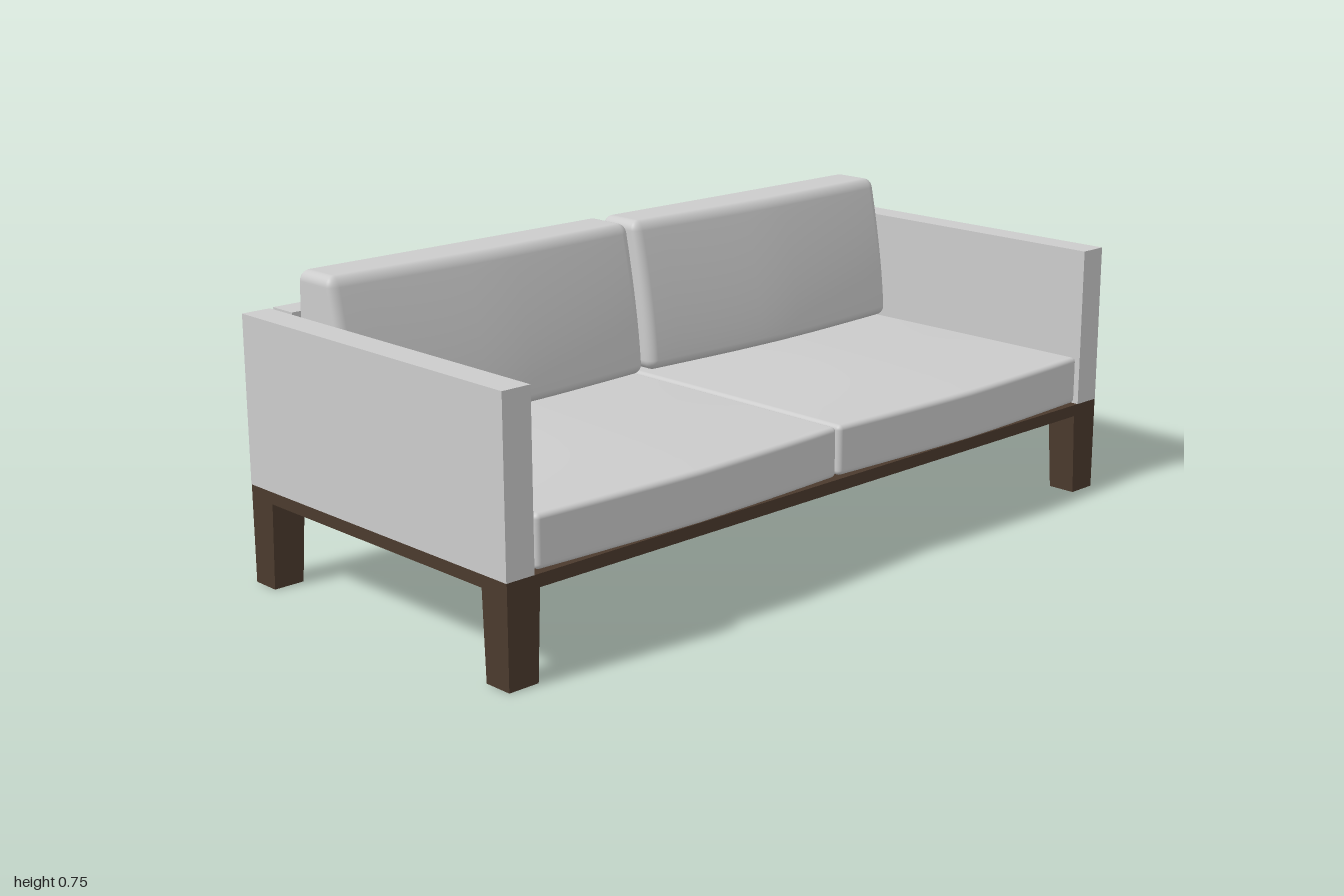
import * as THREE from 'three';
import { mergeVertices } from 'three/addons/utils/BufferGeometryUtils.js';

const fabric = new THREE.MeshStandardMaterial({ color: 0xcccccc });
const wood = new THREE.MeshStandardMaterial({ color: 0x4b3a2d });

const BACK = -0.47, FRONT = 0.455;

// Box given by its lower and upper corners
function block(name, material, [x0, y0, z0], [x1, y1, z1]) {
  const mesh = new THREE.Mesh(new THREE.BoxGeometry(x1 - x0, y1 - y0, z1 - z0), material);
  mesh.position.set((x0 + x1) / 2, (y0 + y1) / 2, (z0 + z1) / 2);
  mesh.name = name;
  return mesh;
}

// Soft box with rounded edges; warp(p, u, v, t) reshapes each point, u, v, t run from -1 to 1
function cushion(name, size, radius, warp) {
  const segments = 20, edge = 4;
  const geo = new THREE.BoxGeometry(2, 2, 2, segments, segments, segments);
  geo.deleteAttribute('normal');
  geo.deleteAttribute('uv');
  const pos = geo.attributes.position;
  const limit = 1 - (2 * edge) / segments;
  const p = new THREE.Vector3(), inner = new THREE.Vector3(), out = new THREE.Vector3();
  for (let i = 0; i < pos.count; i++) {
    p.fromBufferAttribute(pos, i);
    for (let a = 0; a < 3; a++) {
      const c = p.getComponent(a);
      const core = THREE.MathUtils.clamp(c, -limit, limit);
      inner.setComponent(a, (core / limit) * (size[a] / 2 - radius));
      out.setComponent(a, Math.tan(((c - core) / (1 - limit)) * Math.PI / 4));
    }
    p.copy(inner).addScaledVector(out.normalize(), radius);
    warp(p, (2 * p.x) / size[0], (2 * p.y) / size[1], (2 * p.z) / size[2]);
    pos.setXYZ(i, p.x, p.y, p.z);
  }
  const merged = mergeVertices(geo, 1e-5);
  merged.computeVertexNormals();
  const mesh = new THREE.Mesh(merged, fabric);
  mesh.name = name;
  return mesh;
}

const crown = (u) => 1 - Math.min(1, Math.abs(u)) ** 1.4;

// Tapered leg whose outer faces stay upright
function leg(sx, sz) {
  const geo = new THREE.BoxGeometry(0.088, 0.21, 0.082);
  const pos = geo.attributes.position;
  for (let i = 0; i < pos.count; i++) {
    if (pos.getY(i) > 0) continue;
    if (pos.getX(i) * sx < 0) pos.setX(i, pos.getX(i) + sx * 0.009);
    if (pos.getZ(i) * sz < 0) pos.setZ(i, pos.getZ(i) + sz * 0.008);
  }
  geo.computeVertexNormals();
  const mesh = new THREE.Mesh(geo, wood);
  mesh.position.set(sx * 0.955, 0.105, sz > 0 ? FRONT - 0.041 : BACK + 0.041);
  mesh.name = sz > 0 ? 'frontLeg' : 'backLeg';
  return mesh;
}

export function createModel() {
  const sofa = new THREE.Group();
  sofa.name = 'sofa';

  // Wooden platform and upholstered back panel
  sofa.add(block('basePlatform', wood, [-0.999, 0.21, BACK], [0.999, 0.24, FRONT]));
  sofa.add(block('backPanel', fabric, [-0.918, 0.24, BACK + 0.003], [0.918, 0.648, -0.392]));

  for (const s of [-1, 1]) {
    // Arm panel
    const arm = block('arm', fabric, [-0.0375, 0.24, BACK], [0.0375, 0.646, FRONT]);
    arm.position.x = s * 0.9625;
    sofa.add(arm);

    // Legs
    sofa.add(leg(s, 1), leg(s, -1));

    // Seat cushion, bowed at the front and slightly crowned
    const seat = cushion('seatCushion', [0.912, 0.122, 0.84], 0.012, (p, u, v, t) => {
      if (t > 0) p.z += 0.02 * crown(u) * t;
      if (v > 0) p.y += 0.014 * crown(u) * (1 - t * t) * v;
    });
    seat.position.set(s * 0.46, 0.306, 0.032);
    sofa.add(seat);

    // Back cushion, upright behind and sloping in front
    const back = cushion('backCushion', [0.9, 0.376, 0.19], 0.025, (p, u, v, t) => {
      const front = (t + 1) / 2, up = (v + 1) / 2;
      p.z += front * (0.025 * crown(u) * (1 - 0.4 * up) - 0.06 * up ** 1.5);
      p.z += (1 - front) * 0.008 * Math.max(0, v) ** 2;
    });
    back.position.set(s * 0.46, 0.561, -0.29);
    sofa.add(back);
  }
  return sofa;
}
